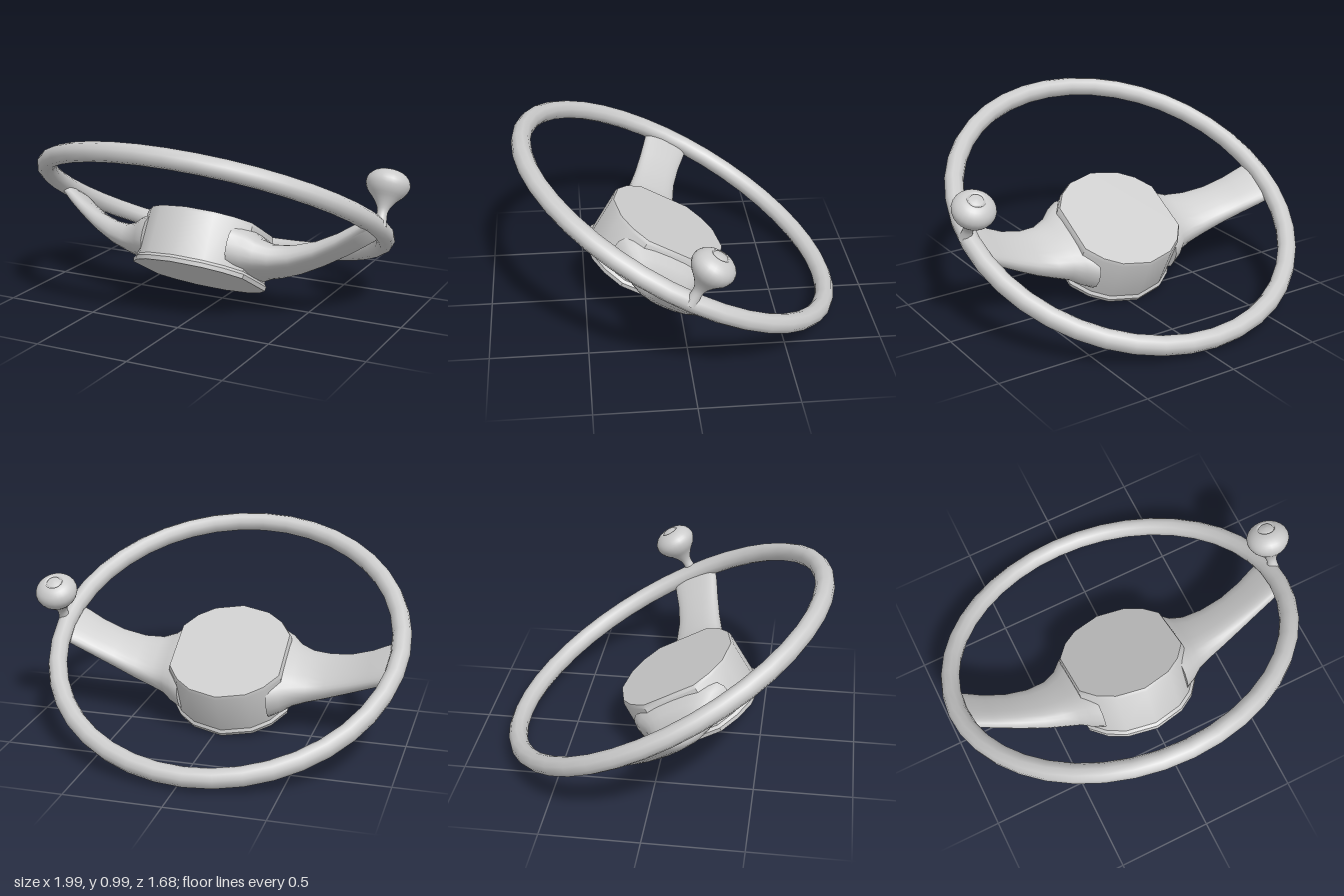
import * as THREE from 'three';
import { toCreasedNormals } from 'three/addons/utils/BufferGeometryUtils.js';

const material = new THREE.MeshStandardMaterial({ color: 0xcccccc });

// Skin a list of closed cross-sections (each an array of [x, y, z]) and cap both ends.
function loft(rings, crease) {
  const n = rings[0].length;
  const positions = rings.flat(2);
  const index = [];
  for (let i = 0; i < rings.length - 1; i++) {
    for (let j = 0; j < n; j++) {
      const k = (j + 1) % n;
      const a = i * n + j, b = i * n + k, c = a + n, d = b + n;
      index.push(a, b, d, a, d, c);
    }
  }
  const last = (rings.length - 1) * n;
  for (let j = 1; j < n - 1; j++) {
    index.push(0, j + 1, j, last, last + j, last + j + 1);
  }
  const geometry = new THREE.BufferGeometry();
  geometry.setAttribute('position', new THREE.Float32BufferAttribute(positions, 3));
  geometry.setIndex(index);
  return toCreasedNormals(geometry, crease);
}

function addMesh(parent, name, geometry) {
  const mesh = new THREE.Mesh(geometry, material);
  mesh.name = name;
  parent.add(mesh);
  return mesh;
}

// Hub outline: faceted circle with a flat on each side where the spokes join.
function hubRing(y, r) {
  return [0, 27, 45, 64, 116, 135, 153, 180, 207, 225, 244, 296, 315, 333].map((deg) => {
    const a = THREE.MathUtils.degToRad(deg);
    return [r * Math.sin(a), y, r * Math.cos(a)];
  });
}

// Rounded-box spoke section at distance x from the hub axis.
function spokeRing([x, y, z, halfHeight, halfWidth]) {
  const soften = (v) => Math.sign(v) * Math.abs(v) ** 0.7;
  return Array.from({ length: 24 }, (_, i) => {
    const a = (i / 24) * Math.PI * 2;
    return [x, y + halfHeight * soften(Math.cos(a)), z + halfWidth * soften(Math.sin(a))];
  });
}

export function createModel() {
  const model = new THREE.Group();
  model.name = 'steeringWheel';

  // Everything is built with the column axis along y, then tilted.
  const wheel = new THREE.Group();
  wheel.name = 'tiltedWheel';
  wheel.position.set(-0.043, 0.508, 0);
  wheel.rotation.x = THREE.MathUtils.degToRad(-29);
  model.add(wheel);

  // Rim
  addMesh(wheel, 'rim', new THREE.TorusGeometry(0.905, 0.05, 10, 40).rotateX(Math.PI / 2));

  // Hub with a thin lip around its underside
  addMesh(wheel, 'hub', loft([
    hubRing(-0.382, 0.35), hubRing(-0.36, 0.354), hubRing(-0.345, 0.342),
    hubRing(-0.11, 0.336), hubRing(-0.092, 0.328),
  ], 0.6));

  // Spokes flare into the hub and sweep up to the rim: x, y, z, half height, half width
  const spokeGeometry = loft([
    [0.24, -0.235, 0, 0.125, 0.27],
    [0.30, -0.235, 0, 0.112, 0.235],
    [0.35, -0.242, 0, 0.088, 0.19],
    [0.42, -0.243, 0, 0.073, 0.16],
    [0.52, -0.222, 0.005, 0.062, 0.138],
    [0.64, -0.175, 0.015, 0.052, 0.123],
    [0.75, -0.115, 0.025, 0.045, 0.122],
    [0.83, -0.062, 0.033, 0.042, 0.128],
    [0.895, -0.02, 0.037, 0.028, 0.132],
  ].map(spokeRing), 0.9);
  ['leftSpoke', 'rightSpoke'].forEach((name, i) => {
    addMesh(wheel, name, spokeGeometry).rotation.y = i * Math.PI;
  });

  // Spinner knob on the left of the rim, with a small button on its crown
  const profile = new THREE.SplineCurve([
    [0.036, 0], [0.027, 0.05], [0.03, 0.09], [0.058, 0.135], [0.095, 0.175], [0.111, 0.215],
    [0.102, 0.25], [0.075, 0.276], [0.046, 0.287],
  ].map(([r, y]) => new THREE.Vector2(r, y))).getPoints(24);
  profile.push(...[[0.044, 0.281], [0.038, 0.281], [0.034, 0.29], [0, 0.293]]
    .map(([r, y]) => new THREE.Vector2(r, y)));
  const knob = addMesh(wheel, 'spinnerKnob', new THREE.LatheGeometry(profile, 24));
  knob.position.set(0.921, 0, 0.03);

  return model;
}
